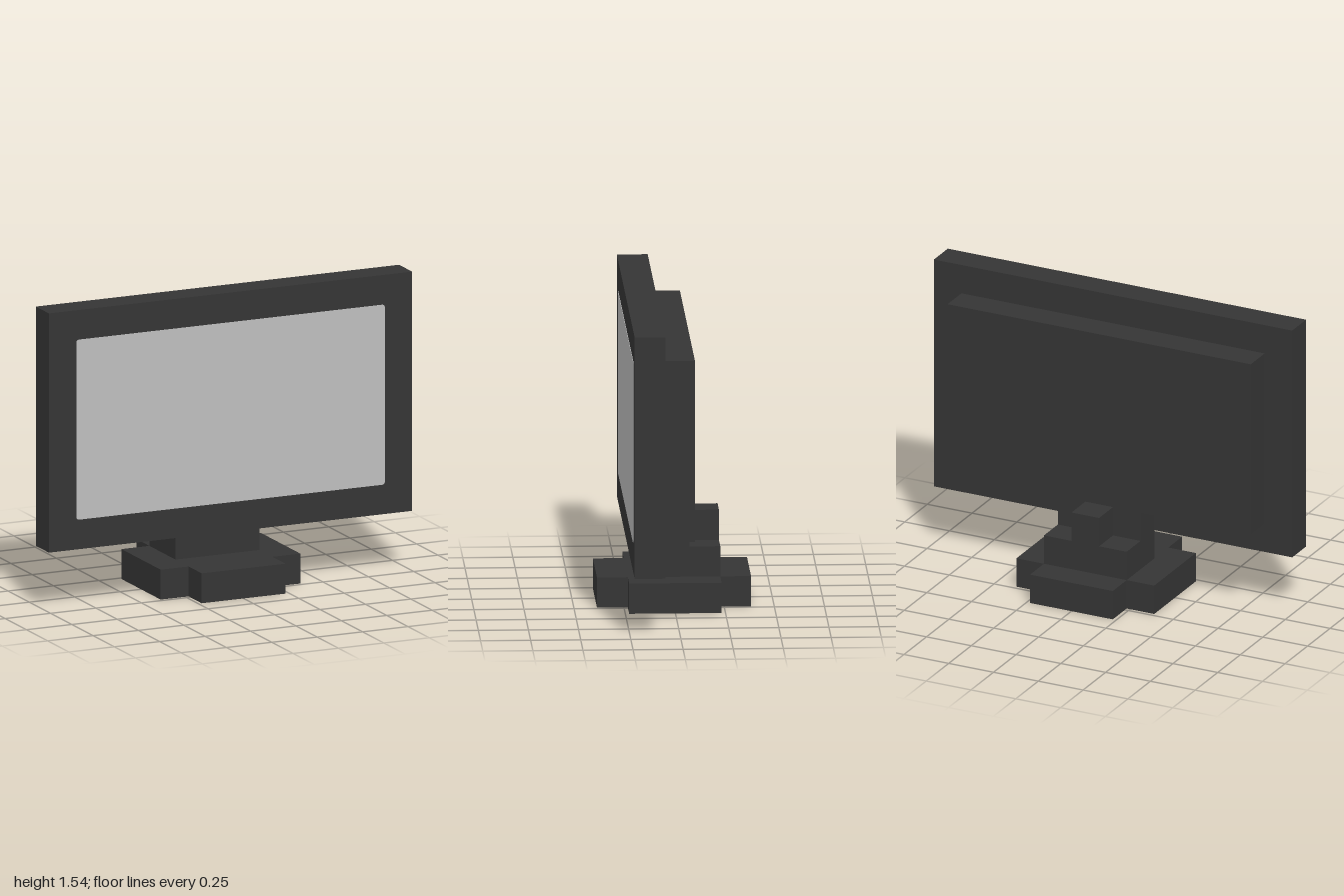
import * as THREE from 'three';

// Everything sits on a grid of cubes, 13 across the widest part
const U = 2 / 13;

export function createModel() {
  const group = new THREE.Group();
  const casing = new THREE.MeshStandardMaterial({ color: 0x353535 });
  casing.name = 'dark casing';
  const glass = new THREE.MeshStandardMaterial({ color: 0xbebebe });
  glass.name = 'grey screen';

  const add = (name, geometry, material) => {
    const mesh = new THREE.Mesh(geometry, material);
    mesh.name = name;
    group.add(mesh);
    return mesh;
  };

  // Box given in grid units: width centred on x, then y and z ranges
  const block = (name, w, y0, y1, z0, z1) => {
    const mesh = add(name, new THREE.BoxGeometry(w * U, (y1 - y0) * U, (z1 - z0) * U), casing);
    mesh.position.set(0, (y0 + y1) * U / 2, (z0 + z1) * U / 2);
  };

  // Display housing
  block('frontFrame', 13, 2, 10, 0.5, 1.5);
  block('backHousing', 11, 3, 9, -0.5, 0.5);

  // Stand
  block('standColumn', 3, 1, 3, -0.5, 0.5);
  block('standRearStep', 3, 1, 2, -1.5, -0.5);
  block('standRearKnob', 1, 2, 3, -1.5, -0.5);

  // Foot: a plus-shaped slab, 5 units across with its corners notched
  const a = 1.5 * U, b = 2.5 * U;
  const plus = new THREE.Shape([
    [b, -a], [b, a], [a, a], [a, b], [-a, b], [-a, a],
    [-b, a], [-b, -a], [-a, -a], [-a, -b], [a, -b], [a, -a],
  ].map(([x, y]) => new THREE.Vector2(x, y)));
  const foot = new THREE.ExtrudeGeometry(plus, { depth: U, bevelEnabled: false });
  foot.rotateX(-Math.PI / 2);
  add('foot', foot, casing);

  // Screen: thin plate with slightly rounded corners
  const w = 5.52 * U, h = 3.01 * U, r = 0.015;
  const outline = new THREE.Shape();
  outline.absarc(w - r, h - r, r, 0, Math.PI / 2);
  outline.absarc(-w + r, h - r, r, Math.PI / 2, Math.PI);
  outline.absarc(-w + r, -h + r, r, Math.PI, Math.PI * 1.5);
  outline.absarc(w - r, -h + r, r, Math.PI * 1.5, Math.PI * 2);
  const plate = new THREE.ExtrudeGeometry(outline, { depth: 0.002, bevelEnabled: false, curveSegments: 4 });
  add('screen', plate, glass).position.set(0, 6 * U, 1.5 * U);

  return group;
}
